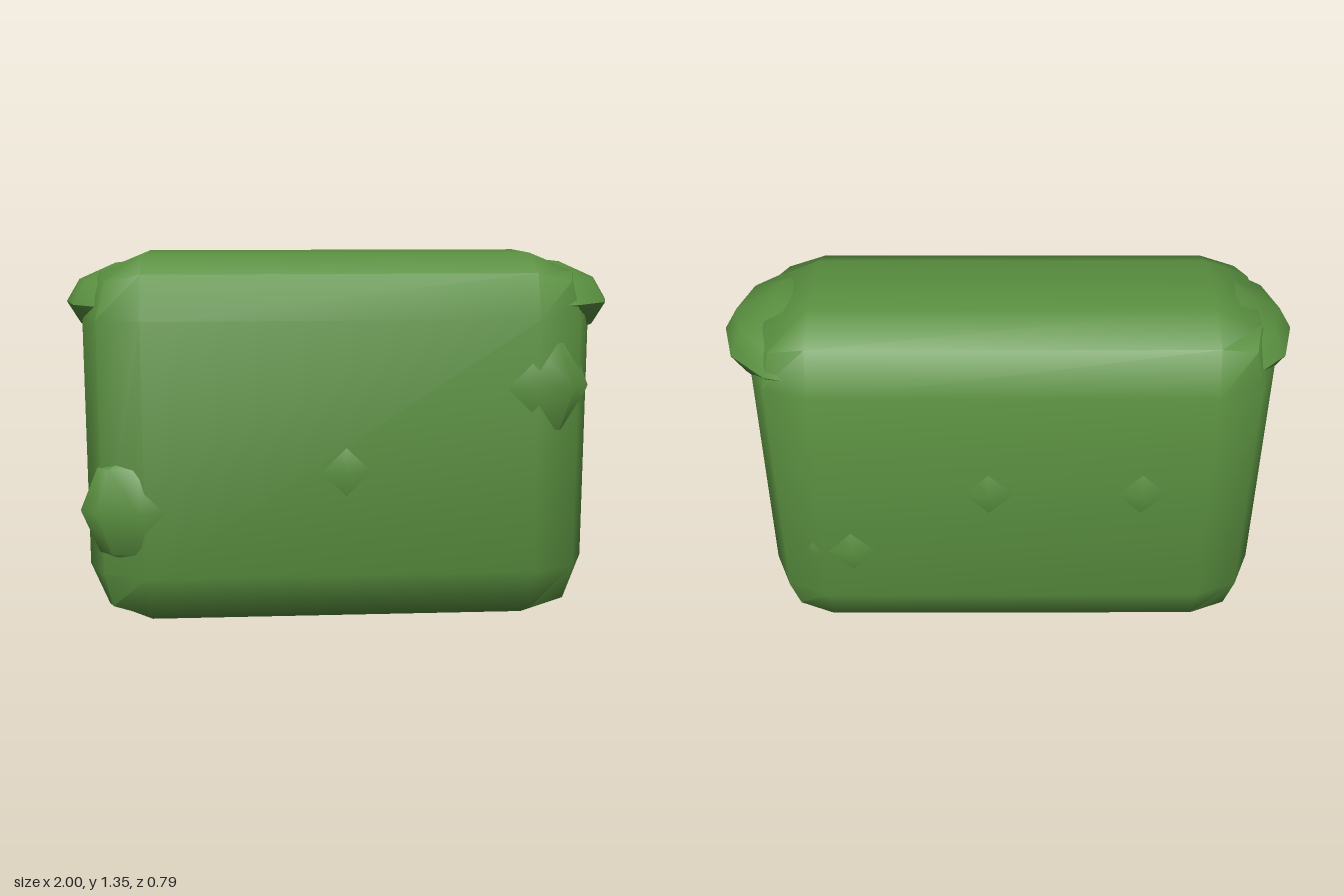
import * as THREE from 'three';
import { toCreasedNormals } from 'three/addons/utils/BufferGeometryUtils.js';
import { RoundedBoxGeometry } from 'three/addons/geometries/RoundedBoxGeometry.js';

export function createModel() {
  const model = new THREE.Group();
  model.name = 'hedge';
  const leaf = new THREE.MeshStandardMaterial({ color: 0x5a9040 });
  leaf.name = 'leaf green';
  const crease = THREE.MathUtils.degToRad(50);

  function add(name, geometry, x, y, z) {
    const mesh = new THREE.Mesh(toCreasedNormals(geometry, crease), leaf);
    mesh.name = name;
    mesh.position.set(x, y, z);
    model.add(mesh);
  }

  // Clipped block with two-step rounded edges
  add('hedgeBody', new RoundedBoxGeometry(1.82, 1.345, 0.76, 1, 0.22), -0.015, 0.6725, 0);

  // Flattened tufts overhanging both top ends
  for (const side of [-1, 1]) {
    const tuft = new THREE.SphereGeometry(0.36, 12, 6).scale(1, 0.16 / 0.36, 1);
    add(side > 0 ? 'leftEndTuft' : 'rightEndTuft', tuft, side * 0.64, 1.168, 0);
  }

  // Shallow leaf clumps pushing through the front and back faces
  const clumps = [
    [-0.72, 0.455, 1], [0, 0.595, 1], [0.65, 0.885, 1],
    [-0.47, 0.715, -1], [0.07, 0.715, -1], [0.57, 0.445, -1],
  ];
  for (const [x, y, face] of clumps) {
    const clump = new THREE.SphereGeometry(0.215, 8, 4).scale(1, 1, 0.09 / 0.215);
    add(face > 0 ? 'frontClump' : 'backClump', clump, x, y, face * 0.305);
  }
  return model;
}
